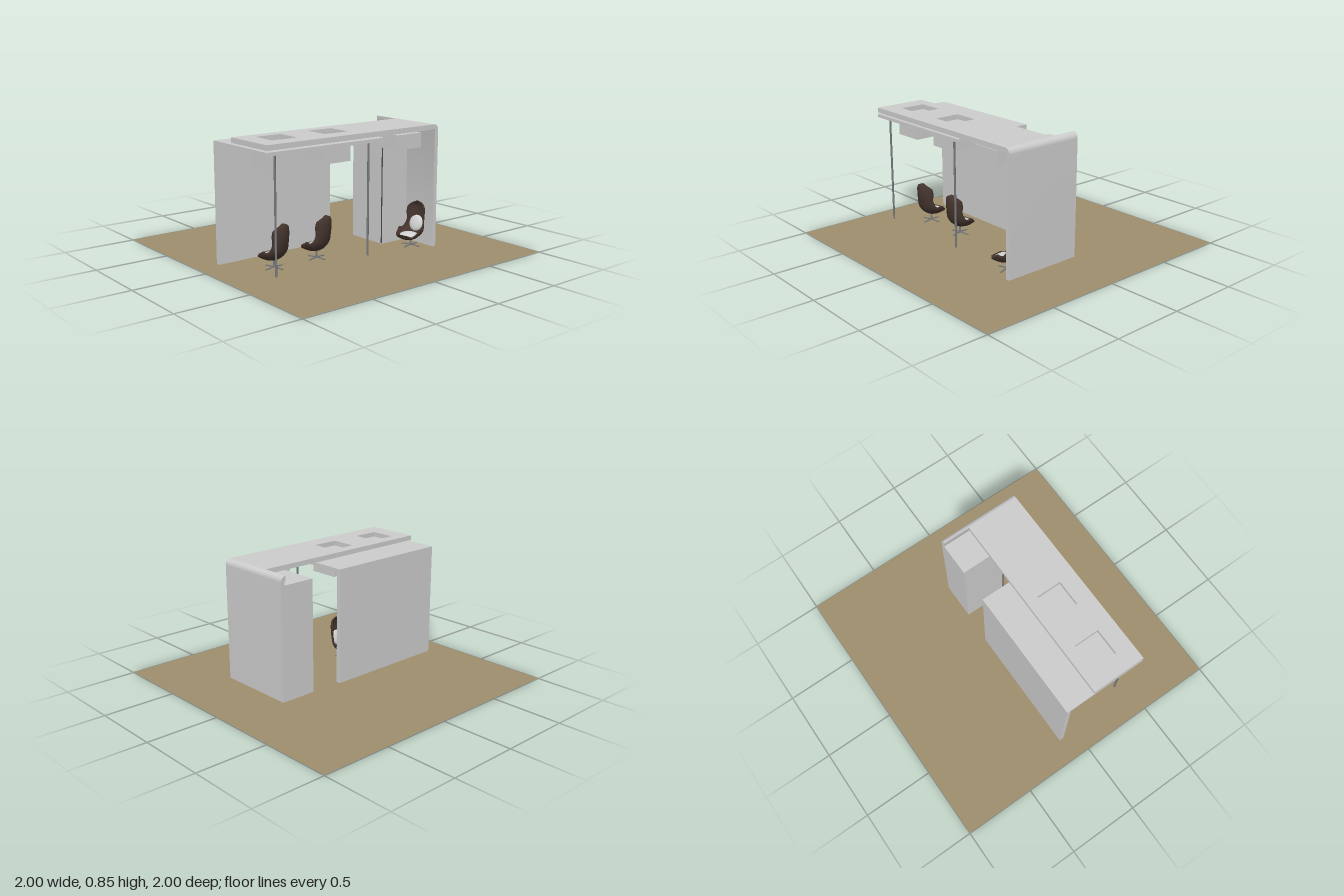
import * as THREE from 'three';
import { toCreasedNormals } from 'three/addons/utils/BufferGeometryUtils.js';

const mat = (name, color, extra = {}) => {
  const m = new THREE.MeshStandardMaterial({ color, ...extra });
  m.name = name;
  return m;
};

export function createModel() {
  const model = new THREE.Group();
  const white = mat('panelGrey', 0xcccccc);
  const ground = mat('groundTan', 0x9e8e6e, { side: THREE.DoubleSide });
  const brown = mat('shellBrown', 0x46352e, { side: THREE.DoubleSide });
  const cloth = mat('cushionGrey', 0xd2d2d2);
  const metal = mat('metalGrey', 0x75797c);
  const dark = mat('trimDark', 0x4a4a4a);

  const add = (parent, name, geo, m, x = 0, y = 0, z = 0) => {
    const mesh = new THREE.Mesh(geo, m);
    mesh.name = name;
    mesh.position.set(x, y, z);
    parent.add(mesh);
    return mesh;
  };
  // Box given by its limits on each axis
  const block = (parent, name, m, x0, x1, y0, y1, z0, z1) =>
    add(parent, name, new THREE.BoxGeometry(x1 - x0, y1 - y0, z1 - z0), m,
      (x0 + x1) / 2, (y0 + y1) / 2, (z0 + z1) / 2);
  const rect = (Type, x0, x1, y0, y1) =>
    new Type([[x0, y0], [x1, y0], [x1, y1], [x0, y1]].map(p => new THREE.Vector2(...p)));

  // Ground sheet
  add(model, 'ground', new THREE.PlaneGeometry(2, 2).rotateX(-Math.PI / 2), ground, 0, 0.003, 0);

  // Long side wall, lower ceiling and rear cabinet
  block(model, 'sideWall', white, -0.13, -0.1, 0, 0.808, -0.07, 0.84);
  block(model, 'lowerRoof', white, -0.1, 0.455, 0.785, 0.808, -0.07, 0.84);
  block(model, 'rearCabinet', white, -0.12, 0.19, 0.004, 0.79, -0.53, -0.3);
  block(model, 'cabinetTrim', dark, 0.184, 0.191, 0.01, 0.78, -0.301, -0.297);

  // Upper roof with two square skylight openings
  const roof = rect(THREE.Shape, 0.075, 0.455, -0.522, 0.84);
  for (const z of [0.13, 0.53]) roof.holes.push(rect(THREE.Path, 0.155, 0.335, z, z + 0.185));
  add(model, 'upperRoof',
    new THREE.ExtrudeGeometry(roof, { depth: 0.034, bevelEnabled: false }).rotateX(Math.PI / 2),
    white, 0, 0.853, 0);

  // Rear wall that curls over into the roof
  const back = new THREE.Shape();
  back.moveTo(-0.53, 0.004);
  back.lineTo(-0.53, 0.811);
  back.quadraticCurveTo(-0.53, 0.819, -0.522, 0.819);
  back.lineTo(-0.522, 0.853);
  back.absarc(-0.522, 0.815, 0.038, Math.PI / 2, Math.PI, false);
  back.lineTo(-0.56, 0.004);
  const backGeo = new THREE.ExtrudeGeometry(back, { depth: 0.575, bevelEnabled: false, curveSegments: 10 });
  add(model, 'rearWall', toCreasedNormals(backGeo.rotateY(-Math.PI / 2), 0.6), white, 0.455, 0, 0);

  // Slim posts
  for (const z of [0.755, 0.025])
    add(model, 'post', new THREE.CylinderGeometry(0.007, 0.007, 0.75, 16), metal, 0.412, 0.41, z);

  // Hanging lamp boxes, open below
  const lamp = (x, y, z) => {
    const g = new THREE.Group();
    g.name = 'lampBox';
    const s = 0.107, t = 0.094;
    const ring = rect(THREE.Shape, -s, s, -s, s);
    ring.holes.push(rect(THREE.Path, -t, t, -t, t));
    add(g, 'lampSides',
      new THREE.ExtrudeGeometry(ring, { depth: 0.09, bevelEnabled: false }).rotateX(Math.PI / 2), white, 0, 0.09, 0);
    block(g, 'lampTop', white, -s, s, 0.09, 0.1, -s, s);
    g.position.set(x, y, z);
    model.add(g);
  };
  lamp(0.242, 0.664, 0.63);
  lamp(0.242, 0.664, 0.227);
  lamp(0.323, 0.705, -0.317);

  // Swivel lounge chair
  const shellGeo = chairShell();
  const chair = (x, z, turn) => {
    const g = new THREE.Group();
    g.name = 'loungeChair';
    add(g, 'shell', shellGeo, brown);
    const pad = new THREE.SphereGeometry(1, 24, 16);
    add(g, 'seatCushion', pad, cloth, 0, 0.088, 0.022).scale.set(0.064, 0.02, 0.06);
    const rest = add(g, 'backCushion', pad, cloth, 0, 0.155, -0.064);
    rest.scale.set(0.054, 0.056, 0.018);
    rest.rotation.x = -0.3;
    add(g, 'stem', new THREE.CylinderGeometry(0.006, 0.008, 0.05, 16), metal, 0, 0.037, 0);
    for (let i = 0; i < 4; i++) {
      const arm = new THREE.Group();
      arm.name = 'foot';
      const bar = add(arm, 'footBar', new THREE.BoxGeometry(0.009, 0.006, 0.075), metal, 0, 0.014, 0.036);
      bar.rotation.x = 0.08;
      arm.rotation.y = i * Math.PI / 2;
      g.add(arm);
    }
    g.position.set(x, 0, z);
    g.rotation.y = turn;
    model.add(g);
  };
  chair(0.185, 0.61, -Math.PI / 2 + 0.2);
  chair(0.185, 0.27, -Math.PI / 2 + 0.2);
  chair(0.35, -0.425, 0.2);

  return model;
}

// Crescent cross-sections swept from the seat lip up to the top of the back
function chairShell() {
  // z, y, half width, wing depth
  const rows = [
    [0.1, 0.09, 0.045, 0.01], [0.088, 0.07, 0.075, 0.03], [0.045, 0.056, 0.086, 0.058],
    [0, 0.058, 0.09, 0.075], [-0.04, 0.075, 0.089, 0.065], [-0.072, 0.115, 0.082, 0.045],
    [-0.09, 0.17, 0.07, 0.04], [-0.099, 0.23, 0.072, 0.05], [-0.096, 0.28, 0.068, 0.042],
    [-0.086, 0.303, 0.048, 0.022], [-0.076, 0.311, 0.012, 0.004]];
  const spine = new THREE.CatmullRomCurve3(rows.map(r => new THREE.Vector3(0, r[1], r[0])));
  const size = new THREE.CatmullRomCurve3(rows.map(r => new THREE.Vector3(r[2], r[3], 0)));
  const N = 36, M = 14, loop = 2 * (M + 1), pos = [], idx = [];
  for (let i = 0; i <= N; i++) {
    const p = spine.getPoint(i / N), t = spine.getTangent(i / N), s = size.getPoint(i / N);
    // Inward direction: up over the seat, forward along the back
    const ny = -t.z, nz = t.y;
    for (let k = 0; k < loop; k++) {
      const inner = k > M;
      const a = ((inner ? loop - 1 - k : k) / M * 2 - 1) * Math.PI / 2;
      const w = s.x * (inner ? 0.88 : 1);
      const d = s.y * (1 - Math.cos(a)) + (inner ? 0.012 * Math.cos(a) : 0);
      pos.push(w * Math.sin(a), p.y + ny * d, p.z + nz * d);
    }
  }
  for (let i = 0; i < N; i++)
    for (let k = 0; k < loop; k++) {
      const a = i * loop + k, b = i * loop + (k + 1) % loop;
      idx.push(a, b, a + loop, b, b + loop, a + loop);
    }
  const geo = new THREE.BufferGeometry();
  geo.setAttribute('position', new THREE.Float32BufferAttribute(pos, 3));
  geo.setIndex(idx);
  geo.computeVertexNormals();
  return geo;
}
